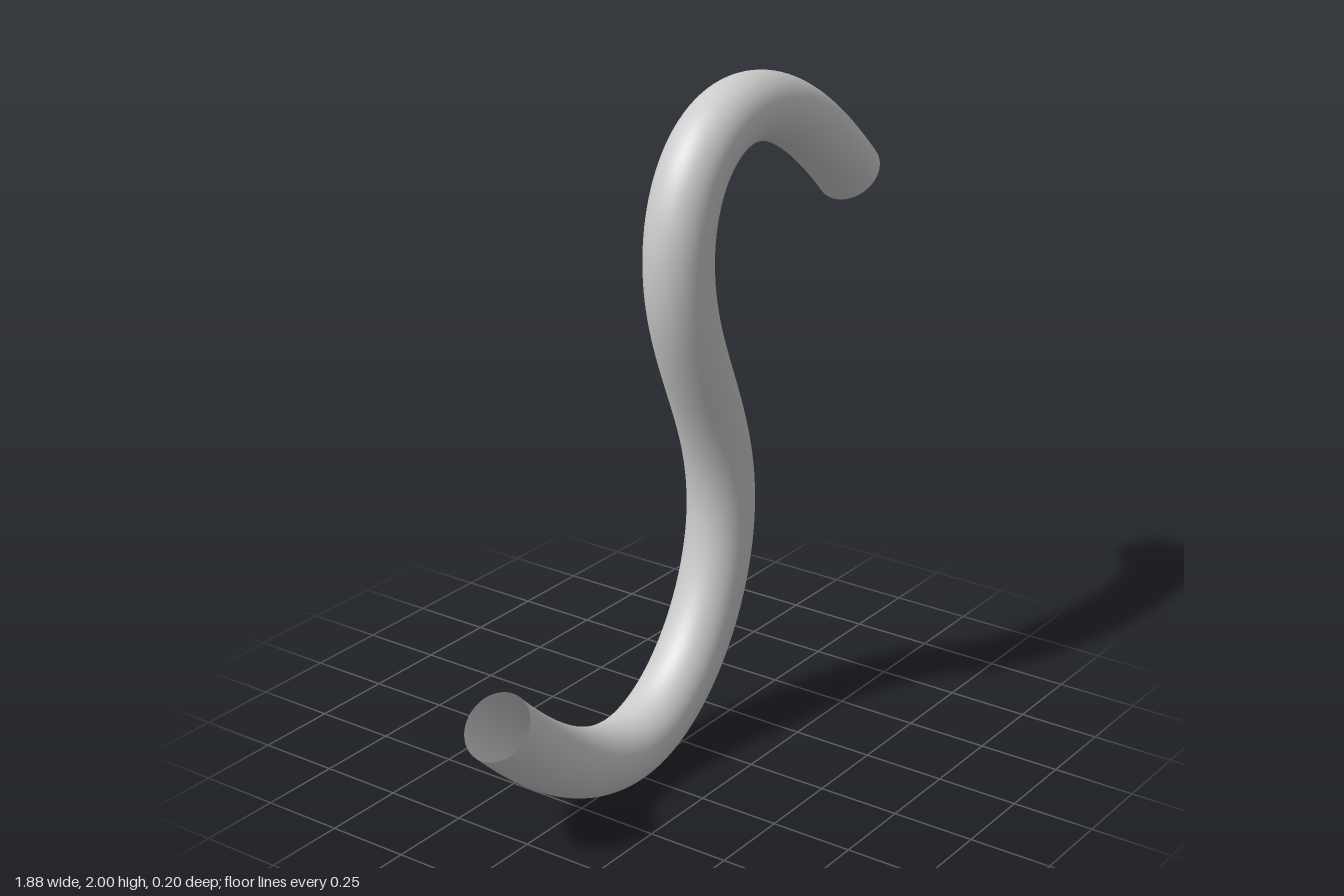
import * as THREE from 'three';

const RADIUS = 0.102;

// Smooth S-shaped centre line: cubic spans joined at the extremes of each bend
function createCentreLine() {
  const spans = [
    [[0.866, 1.583], [0.655, 1.79], [0.47, 1.898], [0.3, 1.898]],
    [[0.3, 1.898], [0.11, 1.898], [-0.02, 1.74], [-0.02, 1.52]],
    [[-0.02, 1.52], [-0.02, 1.23], [0.194, 1.03], [0.194, 0.72]],
    [[0.194, 0.72], [0.194, 0.42], [-0.03, 0.102], [-0.3, 0.102]],
    [[-0.3, 0.102], [-0.47, 0.102], [-0.655, 0.212], [-0.866, 0.42]],
  ];
  const path = new THREE.CurvePath();
  for (const span of spans) {
    const points = span.map(([x, y]) => new THREE.Vector3(x, y, 0));
    path.add(new THREE.CubicBezierCurve3(...points));
  }
  return path;
}

export function createModel() {
  const group = new THREE.Group();
  group.name = 'curvedPipe';

  // Hollow pipe, open at both ends
  const pipe = new THREE.Mesh(
    new THREE.TubeGeometry(createCentreLine(), 160, RADIUS, 48, false),
    new THREE.MeshStandardMaterial({ color: 0xcccccc, side: THREE.DoubleSide })
  );
  pipe.name = 'pipe';
  group.add(pipe);
  return group;
}
